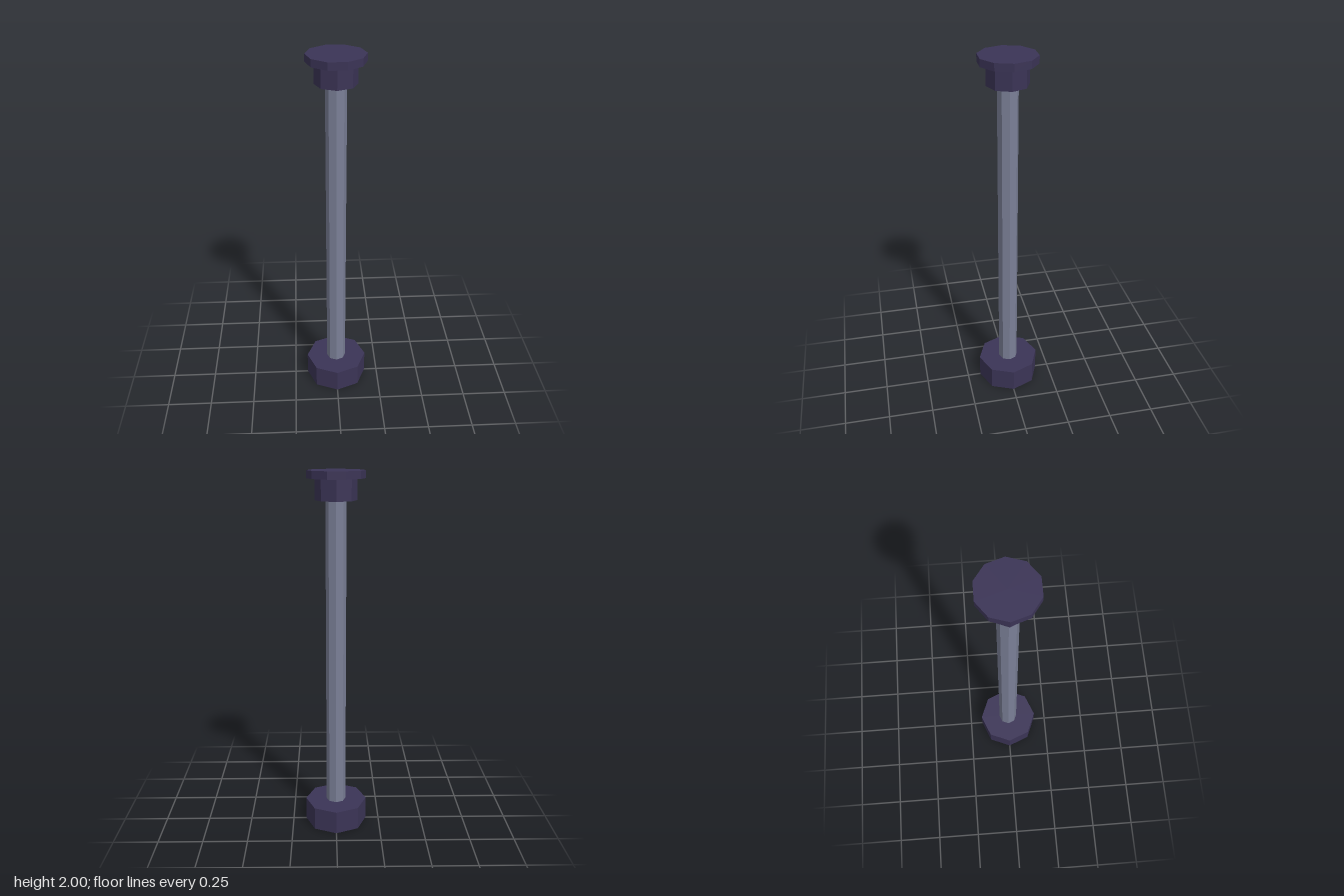
import * as THREE from 'three';

export function createModel() {
  const group = new THREE.Group();
  const dark = new THREE.MeshStandardMaterial({ color: 0x3b3456, flatShading: true });
  const steel = new THREE.MeshStandardMaterial({ color: 0x7a7f96, flatShading: true });

  // Upright faceted prism between two heights, with a corner on the x axis
  function prism(name, radius, y0, y1, sides, material) {
    const geometry = new THREE.CylinderGeometry(radius, radius, y1 - y0, sides);
    geometry.rotateY(Math.PI / 2);
    const mesh = new THREE.Mesh(geometry, material);
    mesh.name = name;
    mesh.position.y = (y0 + y1) / 2;
    group.add(mesh);
  }

  prism('base', 0.175, 0, 0.132, 8, dark);
  prism('shaft', 0.055, 0.132, 1.85, 8, steel);
  prism('collar', 0.11, 1.85, 1.96, 8, dark);
  prism('topCap', 0.153, 1.96, 2, 10, dark);

  return group;
}
